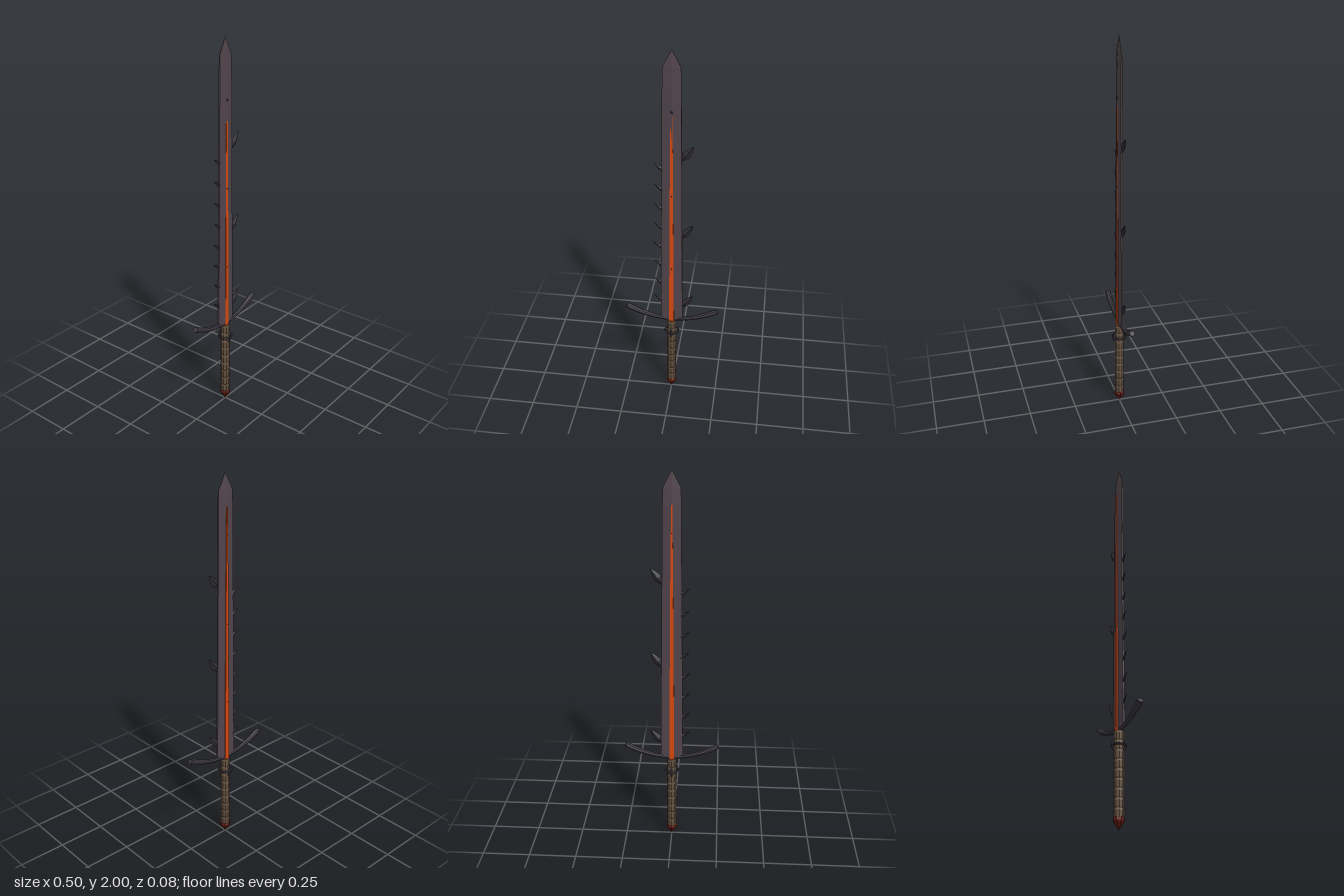
import * as THREE from 'three';

const material = (color) => new THREE.MeshStandardMaterial({ color, flatShading: true });
const steel = material(0x50444b);
const iron = material(0x403c46);
const thornDark = material(0x2f2c33);
const ember = material(0xd8480f);
const leather = material(0x62503f);
const garnet = material(0x641d12);

function add(parent, name, geometry, mat) {
  const mesh = new THREE.Mesh(geometry, mat);
  mesh.name = name;
  parent.add(mesh);
  return mesh;
}

// Joins rings of [x, z] points (counter-clockwise seen from above) stacked at rising heights.
function loft(rings) {
  const n = rings[0].points.length;
  const positions = rings.flatMap(({ y, points }) => points.flatMap(([x, z]) => [x, y, z]));
  const index = [];
  for (let i = 0; i < rings.length - 1; i++) {
    for (let j = 0; j < n; j++) {
      const a = i * n + j, b = i * n + (j + 1) % n;
      index.push(a, b, b + n, a, b + n, a + n);
    }
  }
  const top = (rings.length - 1) * n;
  for (let j = 1; j < n - 1; j++) index.push(0, j + 1, j, top, top + j, top + j + 1);
  const geometry = new THREE.BufferGeometry();
  geometry.setAttribute('position', new THREE.Float32BufferAttribute(positions, 3));
  geometry.setIndex(index);
  const flat = geometry.toNonIndexed();
  flat.computeVertexNormals();
  return flat;
}

// Blade section: a shallow diamond with blunt cutting edges.
function bladeRing(y, halfWidth, ridge, edge) {
  const w = halfWidth;
  return { y, points: [[w, edge], [w, -edge], [0, -ridge], [-w, -edge], [-w, edge], [0, ridge]] };
}

// Glowing vein section, proud of the back face.
function veinRing(y, halfWidth, front, back) {
  const w = halfWidth;
  return { y, points: [[w, front], [w, -back], [-w, -back], [-w, front]] };
}

// Leaf-shaped spike from the origin along +y, widest below the middle.
function spike(length, width, depth) {
  const rings = [[0, 0.3], [0.38, 1], [0.7, 0.65], [1, 0.02]].map(([t, s]) => ({
    y: t * length,
    points: [[width * s, 0], [0, -depth * s], [-width * s, 0], [0, depth * s]],
  }));
  return loft(rings);
}

function guardGeometry() {
  const half = 0.245;
  const geometry = new THREE.CylinderGeometry(1, 1, 2 * half, 8, 18).rotateZ(Math.PI / 2);
  const p = geometry.attributes.position;
  for (let i = 0; i < p.count; i++) {
    const x = p.getX(i);
    const t = Math.abs(x) / half;
    // Flares towards the ends, with a small chamfer at the very tip
    const r = t > 0.99 ? 0.014 : 0.0105 + 0.0065 * t * t;
    const angle = Math.atan(2 * 1.15 * x);
    const off = p.getY(i) * r;
    p.setXYZ(i, x - off * Math.sin(angle), 0.485 + 1.15 * x * x + off * Math.cos(angle), p.getZ(i) * r);
  }
  geometry.computeVertexNormals();
  return geometry;
}

export function createModel() {
  const model = new THREE.Group();
  model.name = 'thornedSword';

  // Blade and glowing vein
  const blade = new THREE.Group();
  blade.name = 'bladeAssembly';
  model.add(blade);
  add(blade, 'blade', loft([
    bladeRing(0.485, 0.059, 0.0125, 0.005),
    bladeRing(1.84, 0.045, 0.0115, 0.004),
    bladeRing(1.92, 0.043, 0.008, 0.002),
    bladeRing(2.0, 0.001, 0.0008, 0.0005),
  ]), steel);
  add(blade, 'glowingVein', loft([
    veinRing(0.475, 0.013, 0.0135, 0.016),
    veinRing(1.46, 0.007, 0.0122, 0.0155),
    veinRing(1.84, 0.003, 0.01, 0.015),
  ]), ember);

  // Row of small thorns on one edge
  for (let i = 0; i < 8; i++) {
    const y = 0.608 + i * 0.1127;
    const thorn = add(blade, 'thorn', new THREE.ConeGeometry(0.012, 0.055, 4), thornDark);
    thorn.geometry.translate(0, 0.0275, 0);
    thorn.position.set(-0.046 + (i < 4 ? -0.006 : 0), y, 0);
    thorn.rotation.z = 0.95;
    thorn.scale.z = 0.6;
  }

  // Leaf spikes on the other edge
  [0.567, 1.008, 1.45].forEach((y, i) => {
    const leaf = add(blade, 'leafSpike', spike(0.1, 0.021, 0.012), thornDark);
    leaf.position.set(0.05 - i * 0.002, y, 0);
    leaf.rotation.z = -0.66;
  });

  // Small buds along the vein
  [[0.82, 0.7], [1.255, 0.7], [1.705, 1]].forEach(([y, s]) => {
    const bud = add(blade, 'veinBud', new THREE.OctahedronGeometry(1), thornDark);
    bud.scale.set(0.014 * s, 0.027 * s, 0.017);
    bud.position.y = y;
    bud.rotation.z = 0.5;
  });

  // Curved guard
  add(model, 'guard', guardGeometry(), iron);

  // Wrapped grip with shallow ridges
  const gripProfile = [new THREE.Vector2(0, 0.055)];
  for (let i = 0; i < 9; i++) {
    const y = 0.055 + i * 0.0465;
    gripProfile.push(new THREE.Vector2(0.0225, y), new THREE.Vector2(0.025, y + 0.008),
      new THREE.Vector2(0.025, y + 0.038));
  }
  gripProfile.push(new THREE.Vector2(0.0225, 0.475), new THREE.Vector2(0, 0.475));
  add(model, 'grip', new THREE.LatheGeometry(gripProfile, 10), leather);

  // Two crossed rings around the grip
  const rings = new THREE.Group();
  rings.name = 'gripRings';
  rings.position.y = 0.405;
  model.add(rings);
  const ring = new THREE.TorusGeometry(0.0355, 0.0052, 6, 20);
  add(rings, 'levelRing', ring, iron).rotation.x = Math.PI / 2;
  add(rings, 'uprightRing', ring, iron).rotation.y = Math.PI / 2;

  // Pointed pommel
  const pommelProfile = [[0, 0], [0.028, 0.043], [0.028, 0.055], [0.018, 0.075], [0, 0.075]]
    .map(([r, y]) => new THREE.Vector2(r, y));
  add(model, 'pommel', new THREE.LatheGeometry(pommelProfile, 8), garnet);

  return model;
}
